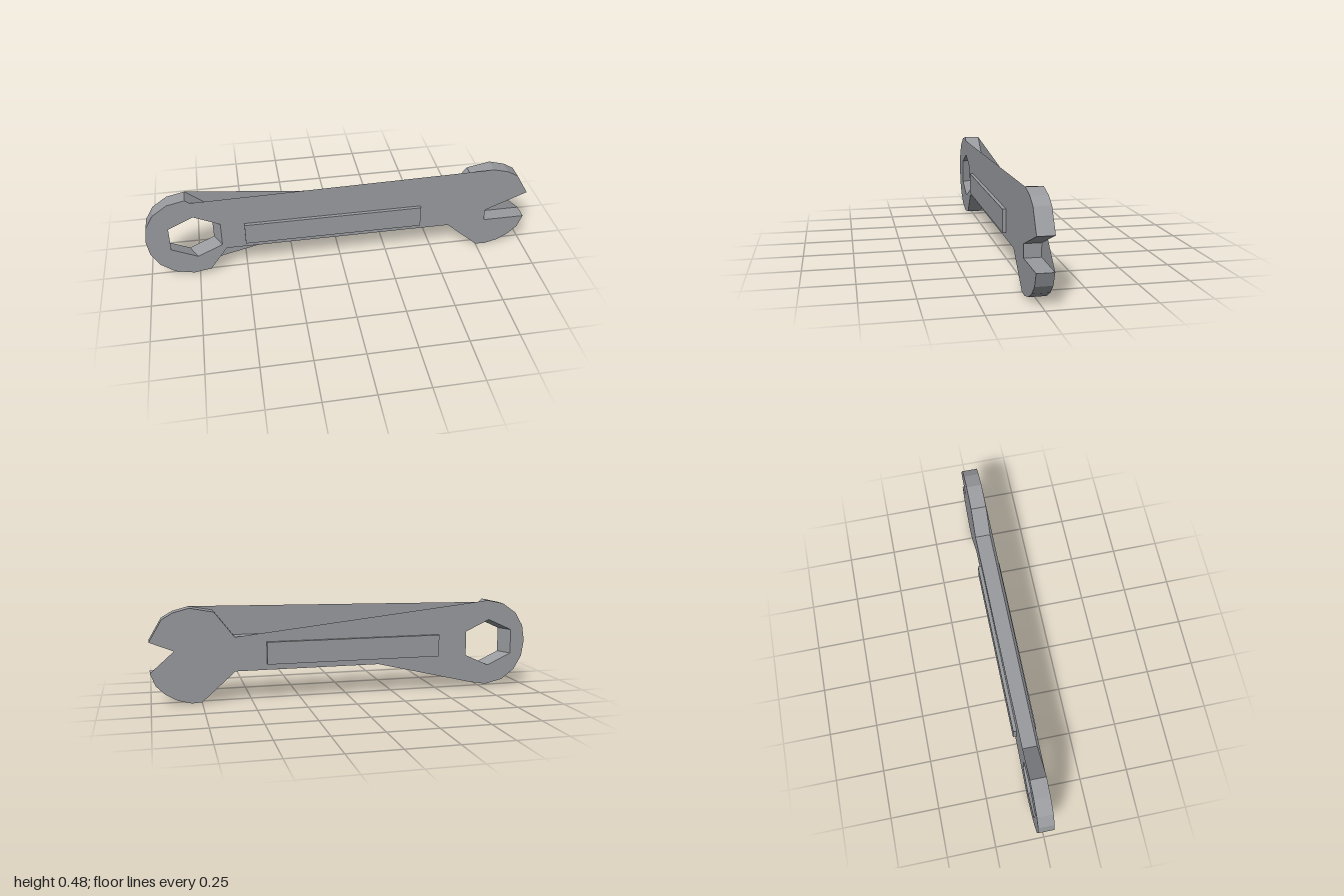
import * as THREE from 'three';

const HALF = 0.04; // half thickness of the wrench plate

const toVectors = (points) => points.map(([x, y]) => new THREE.Vector2(x, y));

export function createModel() {
  const group = new THREE.Group();
  const steel = new THREE.MeshStandardMaterial({ color: 0x999b9f });
  const steelSheet = new THREE.MeshStandardMaterial({ color: 0x999b9f, side: THREE.DoubleSide });
  steel.name = 'steel';
  steelSheet.name = 'steel';

  const add = (name, geometry, material = steel) => {
    const mesh = new THREE.Mesh(geometry, material);
    mesh.name = name;
    group.add(mesh);
    return mesh;
  };

  // Outline: ring end, handle and open jaw
  const outline = new THREE.Shape(toVectors([
    [-0.78, 0.475], [-0.87, 0.455], [-0.945, 0.402], [-0.987, 0.33], [-1, 0.247],
    [-0.987, 0.162], [-0.945, 0.09], [-0.875, 0.037], [-0.78, 0.015], [-0.69, 0.03],
    [-0.6, 0.155], [0.58, 0.155], [0.75, 0.005], [0.8, 0.002], [0.87, 0.02],
    [0.93, 0.055], [0.975, 0.1], [1, 0.165], [0.78, 0.165], [0.78, 0.23],
    [1, 0.32], [0.935, 0.43], [0.88, 0.462], [0.8, 0.483], [0.68, 0.46],
    [0.58, 0.33], [-0.6, 0.33],
  ]));

  // Hexagonal socket
  outline.holes.push(new THREE.Path(toVectors([
    [-0.75, 0.37], [-0.62, 0.31], [-0.62, 0.18], [-0.75, 0.12], [-0.88, 0.18], [-0.88, 0.31],
  ])));

  const body = new THREE.ExtrudeGeometry(outline, { depth: HALF * 2, bevelEnabled: false });
  body.translate(0, 0, -HALF);

  // The socket runs slightly askew: shift its back rim outward
  const p = body.attributes.position;
  for (let i = 0; i < p.count; i++) {
    const x = p.getX(i), y = p.getY(i);
    if (p.getZ(i) < 0 && x > -0.9 && x < -0.61 && y > 0.11 && y < 0.38) p.setX(i, x - 0.04);
  }
  body.computeVertexNormals();
  add('wrenchBody', body);

  // Thin webs that bridge the concave corners of each face
  const web = (name, z, points) => {
    add(name, new THREE.ShapeGeometry(new THREE.Shape(toVectors(points))), steelSheet).position.z = z;
  };
  web('frontUpperWeb', HALF, [[-0.762, 0.457], [-0.6, 0.33], [0.58, 0.33], [0.68, 0.46], [0.8, 0.483]]);
  web('backUpperWeb', -HALF, [[-0.78, 0.475], [-0.6, 0.33], [0.58, 0.33]]);
  web('backLowerWeb', -HALF, [[-0.69, 0.03], [-0.17, 0.155], [-0.6, 0.155]]);
  web('backJawWeb', -HALF, [[0.78, 0.165], [1, 0.165], [0.88, 0.271], [0.78, 0.23]]);

  // Raised bar on both sides of the handle
  for (const side of [1, -1]) {
    const bar = add(side > 0 ? 'frontHandleBar' : 'backHandleBar', new THREE.BoxGeometry(0.92, 0.115, 0.018));
    bar.position.set(-0.04, 0.2425, side * (HALF + 0.009));
  }

  return group;
}
